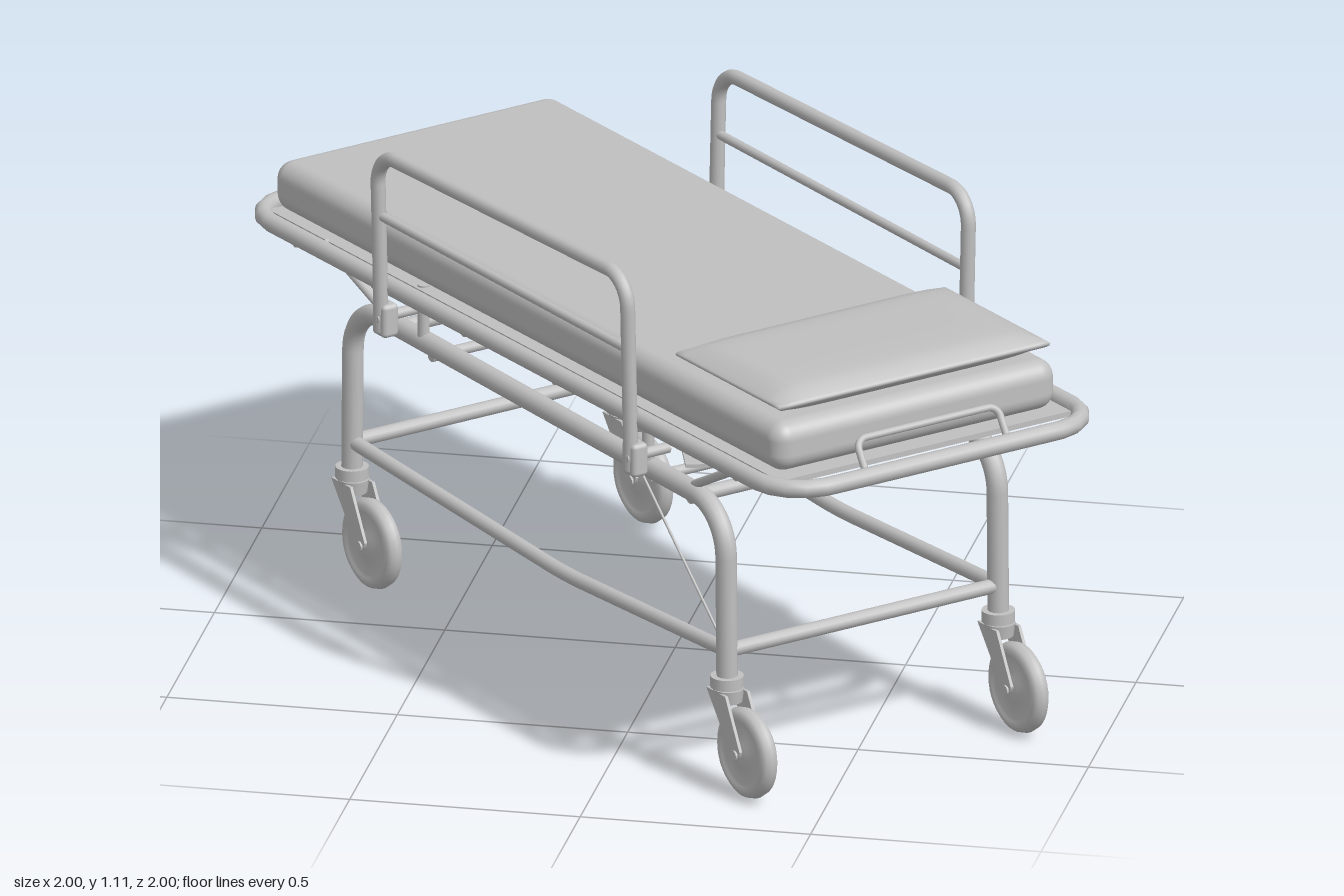
import * as THREE from 'three';
import { RoundedBoxGeometry } from 'three/addons/geometries/RoundedBoxGeometry.js';
import { mergeVertices } from 'three/addons/utils/BufferGeometryUtils.js';

const grey = new THREE.MeshStandardMaterial({ color: 0xc0c0c0 });
grey.name = 'light grey';
const V = (x, y, z) => new THREE.Vector3(x, y, z);

function add(parent, name, geometry, x = 0, y = 0, z = 0) {
  const mesh = new THREE.Mesh(geometry, grey);
  mesh.name = name;
  mesh.position.set(x, y, z);
  parent.add(mesh);
  return mesh;
}

// Polyline with rounded corners
function bentPath(points, radius, closed = false) {
  const path = new THREE.CurvePath();
  const n = points.length;
  const toward = (a, b, d) => a.clone().add(b.clone().sub(a).setLength(d));
  let cursor = closed ? toward(points[0], points[1], radius) : points[0];
  for (let i = 1; i < (closed ? n + 1 : n - 1); i++) {
    const p = points[i % n], before = points[i - 1], after = points[(i + 1) % n];
    const a = toward(p, before, radius), b = toward(p, after, radius);
    path.add(new THREE.LineCurve3(cursor, a));
    path.add(new THREE.CubicBezierCurve3(a, a.clone().lerp(p, 0.55), b.clone().lerp(p, 0.55), b));
    cursor = b;
  }
  if (!closed) path.add(new THREE.LineCurve3(cursor, points[n - 1]));
  return path;
}

function bentTube(parent, name, points, bend, r, closed = false) {
  return add(parent, name, new THREE.TubeGeometry(bentPath(points, bend, closed), 140, r, 12, closed));
}

// Straight capped bar between two points
function bar(parent, name, a, b, r) {
  const mesh = add(parent, name, new THREE.CylinderGeometry(r, r, a.distanceTo(b), 12));
  mesh.position.copy(a).lerp(b, 0.5);
  mesh.quaternion.setFromUnitVectors(V(0, 1, 0), b.clone().sub(a).normalize());
  return mesh;
}

// Puffed box that thins toward its edges
function pillowGeometry(l, h, w) {
  const g = new THREE.BoxGeometry(l, h, w, 16, 4, 24);
  g.deleteAttribute('normal');
  g.deleteAttribute('uv');
  const merged = mergeVertices(g);
  const p = merged.attributes.position;
  for (let i = 0; i < p.count; i++) {
    const a = Math.abs(p.getX(i)) / (l / 2), b = Math.abs(p.getZ(i)) / (w / 2);
    const puff = 0.25 + 0.75 * Math.sqrt(Math.max(0, (1 - a ** 5) * (1 - b ** 8)));
    const bulge = 1 - 0.03 * (1 - (p.getY(i) / (h / 2)) ** 2);
    p.setXYZ(i, p.getX(i) * (2 - bulge), p.getY(i) * puff, p.getZ(i) * (2 - bulge));
  }
  merged.computeVertexNormals();
  return merged;
}

// Swivel caster trailing toward +x, origin under the leg
function makeCaster() {
  const caster = new THREE.Group();
  caster.name = 'caster';
  add(caster, 'swivelCollar', new THREE.CylinderGeometry(0.036, 0.036, 0.025, 20), 0, 0.243, 0);
  add(caster, 'swivelHead', new THREE.CylinderGeometry(0.034, 0.03, 0.03, 20), 0.005, 0.214, 0);
  const plate = new THREE.Shape();
  plate.moveTo(-0.033, 0.225);
  plate.lineTo(0.04, 0.225);
  plate.lineTo(0.096, 0.115);
  plate.quadraticCurveTo(0.09, 0.088, 0.065, 0.098);
  plate.closePath();
  for (const s of [-1, 1]) {
    add(caster, 'forkPlate', new THREE.ExtrudeGeometry(plate, { depth: 0.007, bevelEnabled: false }), 0, 0, s * 0.028 - 0.0035);
  }
  const profile = [[0.001, -0.022], [0.03, -0.022], [0.034, -0.014], [0.068, -0.014], [0.073, -0.02],
    [0.086, -0.02], [0.096, -0.013], [0.1, 0], [0.096, 0.013], [0.086, 0.02], [0.073, 0.02],
    [0.068, 0.014], [0.034, 0.014], [0.03, 0.022], [0.001, 0.022]].map(([r, y]) => new THREE.Vector2(r, y));
  add(caster, 'wheel', new THREE.LatheGeometry(profile, 36), 0.078, 0.104, 0).rotation.x = Math.PI / 2;
  add(caster, 'axle', new THREE.CylinderGeometry(0.011, 0.011, 0.072, 12), 0.078, 0.104, 0).rotation.x = Math.PI / 2;
  return caster;
}

export function createModel() {
  const model = new THREE.Group();
  model.name = 'hospitalTrolley';
  // Length runs along local x, head at +x; the trolley stands diagonally
  const trolley = new THREE.Group();
  trolley.name = 'trolley';
  trolley.rotation.y = -Math.PI / 4;
  model.add(trolley);

  // Bed top, rising slightly toward the head
  const bed = new THREE.Group();
  bed.name = 'bedTop';
  bed.rotation.z = 0.016;
  trolley.add(bed);
  const y = 0.762;
  bentTube(bed, 'bumperRail', [V(-1.05, y, -0.4), V(1.05, y, -0.4), V(1.05, y, 0.4), V(-1.05, y, 0.4)], 0.11, 0.02, true);
  add(bed, 'mattress', new RoundedBoxGeometry(1.96, 0.112, 0.72, 5, 0.04), -0.025, 0.822, 0);
  add(bed, 'deck', new THREE.BoxGeometry(1.98, 0.012, 0.74), -0.01, 0.762, 0);
  add(bed, 'pillow', pillowGeometry(0.39, 0.062, 0.67), 0.725, 0.907, -0.01);
  bentTube(bed, 'headHandle', [V(1.04, 0.765, -0.17), V(1.0, 0.83, -0.17), V(1.0, 0.83, 0.19), V(1.04, 0.765, 0.19)], 0.025, 0.008);
  for (const x of [-0.85, -0.55, -0.2, 0.15, 0.5, 0.85]) {
    bar(bed, 'deckCrossbar', V(x, 0.745, -0.4), V(x, 0.745, 0.4), 0.011);
  }

  for (const s of [-1, 1]) {
    // Arched leg frame
    bentTube(trolley, 'legArch', [V(-0.725, 0.25, s * 0.345), V(-0.72, 0.633, s * 0.345),
      V(0.72, 0.633, s * 0.345), V(0.725, 0.25, s * 0.345)], 0.11, 0.023);
    // Sagging lower rail
    bentTube(trolley, 'lowerRail', [V(-0.725, 0.312, s * 0.345), V(0.1, 0.28, s * 0.345),
      V(0.725, 0.312, s * 0.345)], 0.06, 0.016);

    // Fold-down side guard
    const guard = new THREE.Group();
    guard.name = 'sideGuard';
    trolley.add(guard);
    bentTube(guard, 'guardHoop', [V(-0.49, 0.66, s * 0.425), V(-0.49, 1.07, s * 0.435),
      V(0.475, 1.1, s * 0.435), V(0.475, 0.66, s * 0.425)], 0.07, 0.016);
    bar(guard, 'guardMidBar', V(-0.49, 0.924, s * 0.43), V(0.475, 0.934, s * 0.43), 0.01);
    for (const x of [-0.49, 0.475]) {
      add(guard, 'guardPivot', new RoundedBoxGeometry(0.05, 0.075, 0.04, 2, 0.01), x, 0.685, s * 0.415);
      bar(guard, 'pivotPin', V(x, 0.69, s * 0.33), V(x, 0.69, s * 0.44), 0.012);
      add(guard, 'guardPost', new THREE.CylinderGeometry(0.013, 0.013, 0.13, 12), x * 0.9, 0.7, s * 0.35);
    }
    // Release link to the base leg
    bar(trolley, 'releaseLink', V(-s * 0.5, 0.65, -0.41 * s), V(-s * 0.715, 0.33, -0.35 * s), s > 0 ? 0.008 : 0.003);

    for (const e of [-1, 1]) {
      bar(trolley, 'cornerStrut', V(e * 0.6, 0.65, s * 0.345), V(e * 0.79, 0.75, s * 0.37), 0.01);
      const caster = makeCaster();
      caster.position.set(e * 0.725, 0, s * 0.345);
      trolley.add(caster);
    }
  }

  for (const e of [-1, 1]) {
    // Crosswise bars tying the two arches together
    bar(trolley, 'endBar', V(e * 0.725, 0.312, -0.345), V(e * 0.725, 0.312, 0.345), 0.016);
    bar(trolley, 'upperCrossTube', V(e * 0.58, 0.615, -0.345), V(e * 0.58, 0.615, 0.345), 0.016);
    bar(trolley, 'innerCrossTube', V(e * 0.42, 0.605, -0.345), V(e * 0.42, 0.605, 0.345), 0.012);
    // Flat diagonal brace
    const brace = add(trolley, 'diagonalBrace', new THREE.BoxGeometry(1.15, 0.008, 0.05), 0, 0.655 + e * 0.01, 0);
    brace.rotation.y = e * 0.5;
  }
  // Lift mechanism housing beneath the deck
  add(trolley, 'liftHousing', new RoundedBoxGeometry(0.34, 0.05, 0.16, 2, 0.01), -0.25, 0.705, 0.05);
  bar(trolley, 'liftRod', V(-0.1, 0.7, 0.05), V(0.58, 0.62, 0.05), 0.012);

  return model;
}
